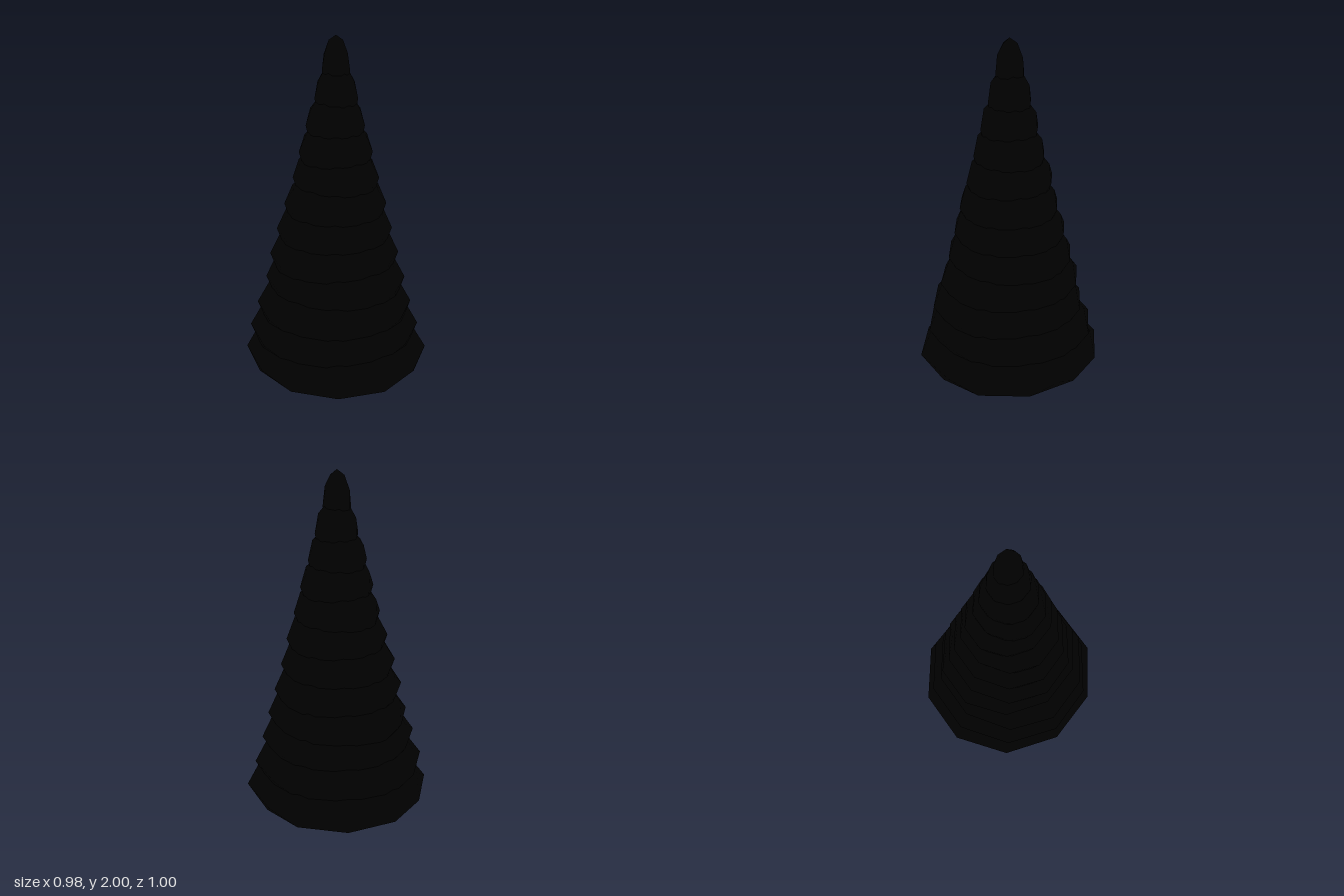
import * as THREE from 'three';
import { mergeVertices } from 'three/addons/utils/BufferGeometryUtils.js';

const TIER_HEIGHT = 0.187; // half height of one foliage tier
const FIRST_Y = 0.242;
const STEP_Y = 0.143;

// Reach of each tier towards -x, +x, +z, -z, from the bottom up
const REACH = [
  [0.49, 0.49, 0.498, 0.498],
  [0.45, 0.435, 0.48, 0.457],
  [0.395, 0.41, 0.445, 0.405],
  [0.38, 0.372, 0.378, 0.372],
  [0.333, 0.32, 0.365, 0.345],
  [0.298, 0.288, 0.325, 0.305],
  [0.255, 0.26, 0.283, 0.27],
  [0.23, 0.226, 0.226, 0.226],
  [0.18, 0.185, 0.2, 0.195],
  [0.15, 0.148, 0.16, 0.15],
  [0.11, 0.11, 0.11, 0.115],
  [0.075, 0.072, 0.07, 0.072],
];

// Once-subdivided icosahedron standing on a corner, welded for smooth normals
function unitBlob() {
  const g = new THREE.IcosahedronGeometry(1, 1);
  g.rotateZ(-Math.atan(2 / (1 + Math.sqrt(5))));
  g.deleteAttribute('uv');
  g.deleteAttribute('normal');
  return mergeVertices(g, 1e-3);
}

// Squashed blob with its own reach on each side
function tierGeometry([xNeg, xPos, zPos, zNeg]) {
  const g = unitBlob();
  const p = g.attributes.position;
  const equatorX = Math.cos(Math.PI / 10); // widest x of the ten-sided equator
  for (let i = 0; i < p.count; i++) {
    const x = p.getX(i), z = p.getZ(i);
    p.setXYZ(
      i,
      x * (x < 0 ? xNeg : xPos) / equatorX,
      p.getY(i) * TIER_HEIGHT,
      z * (z < 0 ? zNeg : zPos)
    );
  }
  g.computeVertexNormals();
  return g;
}

export function createModel() {
  const tree = new THREE.Group();
  tree.name = 'tree';
  const black = new THREE.MeshStandardMaterial({ color: 0x000000 });

  // Stacked foliage tiers, tapering to the top
  const foliage = new THREE.Group();
  foliage.name = 'foliage';
  REACH.forEach((reach, i) => {
    const tier = new THREE.Mesh(tierGeometry(reach), black);
    tier.name = `foliageTier${i + 1}`;
    tier.position.y = FIRST_Y + i * STEP_Y;
    foliage.add(tier);
  });
  tree.add(foliage);

  // Six-sided trunk with a flared foot
  const profile = [[0, 0], [0.09, 0], [0.046, 0.045], [0.04, 0.25], [0, 0.25]]
    .map(([r, y]) => new THREE.Vector2(r, y));
  const trunk = new THREE.Mesh(new THREE.LatheGeometry(profile, 6), black);
  trunk.name = 'trunk';
  tree.add(trunk);

  return tree;
}
